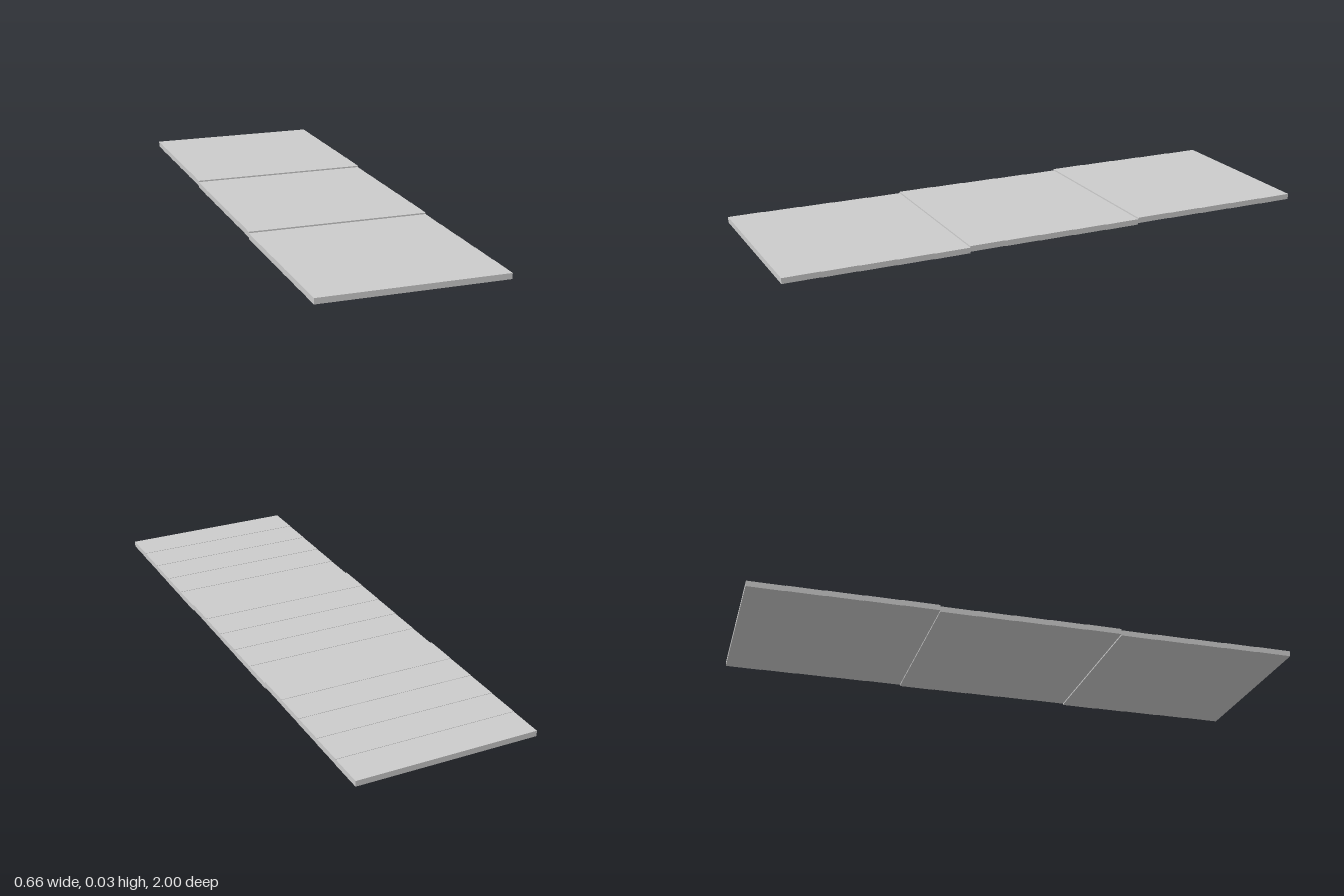
import * as THREE from 'three';

export function createModel() {
  const group = new THREE.Group();
  group.name = 'slattedPanel';
  const material = new THREE.MeshStandardMaterial({ color: 0xcccccc, flatShading: true });

  const count = 15, perSection = 5;
  const depth = 2 / count, thickness = 0.0205, step = 0.0013;
  const slat = new THREE.BoxGeometry(0.662, thickness, depth);

  // Three sections of five slats, each slat a little lower than the one in front
  for (let s = 0; s < count / perSection; s++) {
    const section = new THREE.Group();
    section.name = `section${s + 1}`;
    for (let i = 0; i < perSection; i++) {
      const mesh = new THREE.Mesh(slat, material);
      mesh.name = `slat${i + 1}`;
      const lift = (perSection - 1 - i) * step;
      mesh.position.set(0, thickness / 2 + lift, 1 - (s * perSection + i + 0.5) * depth);
      section.add(mesh);
    }
    group.add(section);
  }
  return group;
}
